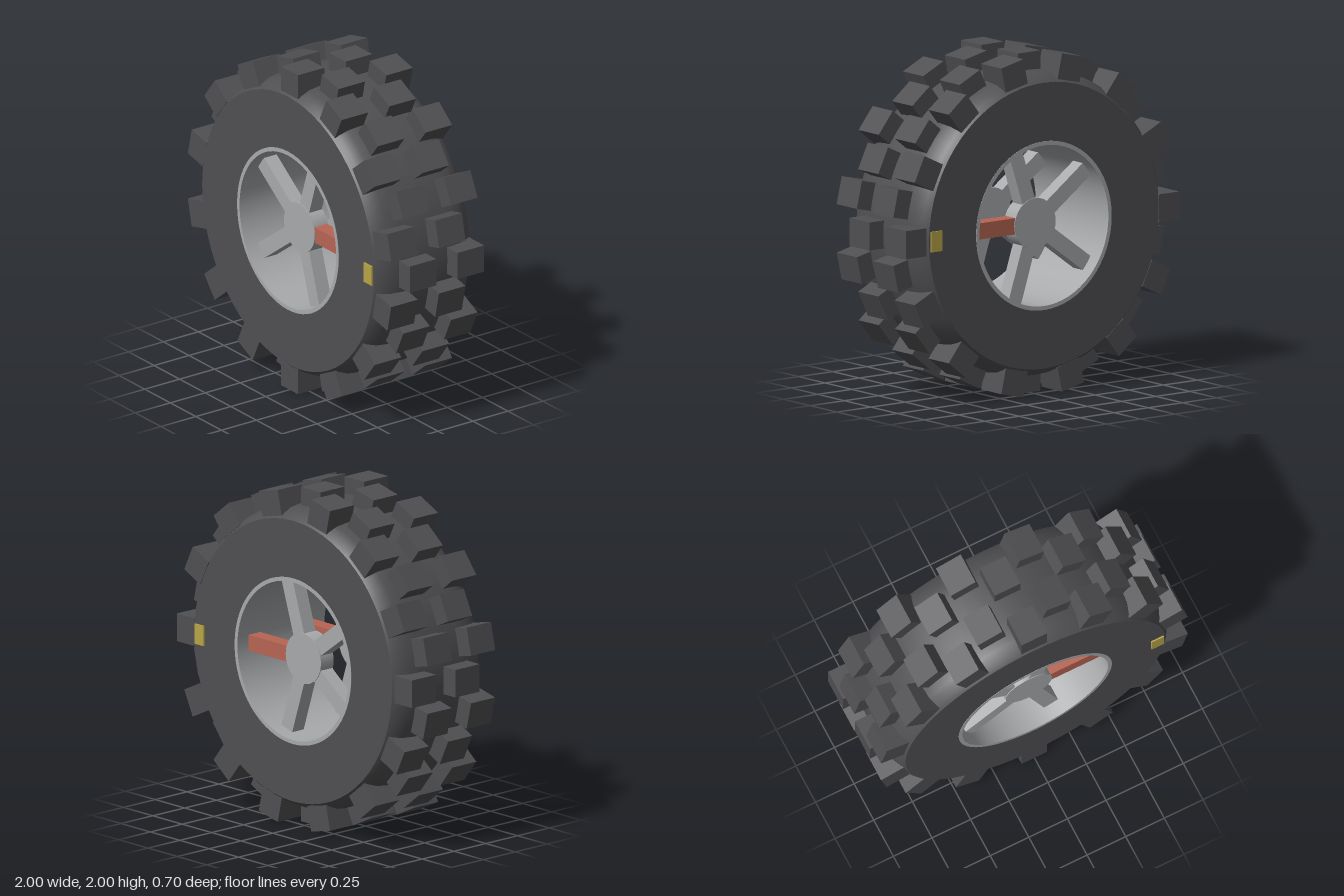
import * as THREE from 'three';
import { toCreasedNormals } from 'three/addons/utils/BufferGeometryUtils.js';

const material = (name, color) => {
  const m = new THREE.MeshStandardMaterial({ color });
  m.name = name;
  return m;
};

export function createModel() {
  const rubber = material('dark rubber', 0x505053);
  const metal = material('light grey rim', 0xa8aaac);
  const red = material('muted red', 0xb86553);
  const yellow = material('muted yellow', 0xb8a648);

  const wheel = new THREE.Group();
  wheel.name = 'wheel';
  wheel.position.y = 1;

  const add = (parent, name, geometry, mat, x = 0, y = 0, z = 0) => {
    const mesh = new THREE.Mesh(geometry, mat);
    mesh.name = name;
    mesh.position.set(x, y, z);
    parent.add(mesh);
    return mesh;
  };

  // Ring turned about the z axle from a closed [radius, z] profile
  const ring = (profile) => {
    const points = profile.map(([r, z]) => new THREE.Vector2(r, z));
    const geometry = new THREE.LatheGeometry(points, 64).rotateX(Math.PI / 2);
    return toCreasedNormals(geometry, 0.55);
  };

  // Tyre carcass: flat sidewalls, rounded shoulders
  const shoulder = [[0.9, 0.17], [0.89, 0.25], [0.865, 0.31], [0.84, 0.34], [0.49, 0.34]];
  const mirrored = shoulder.map(([r, z]) => [r, -z]).reverse();
  add(wheel, 'tyre', ring([...mirrored, ...shoulder, [0.49, -0.34]]), rubber);

  // Tread: 28 steps, blocks alternate between inner and outer rows
  const block = new THREE.BoxGeometry(0.15, 0.165, 0.19);
  const steps = 28;
  for (let i = 0; i < steps; i++) {
    const a = (i / steps) * Math.PI * 2;
    const inner = 0.107, outer = 0.235;
    const rows = i % 2 ? [outer, -inner] : [inner, -outer];
    for (const z of rows) {
      add(wheel, 'treadBlock', block, rubber, Math.cos(a) * 0.925, Math.sin(a) * 0.925, z).rotation.z = a;
    }
  }

  // Rim barrel
  add(wheel, 'rim', ring([[0.496, -0.342], [0.496, 0.342], [0.472, 0.342], [0.472, -0.342], [0.496, -0.342]]), metal);

  // Hub, five spokes and a marker plate on each side
  const hub = new THREE.CylinderGeometry(0.15, 0.15, 0.1, 32).rotateX(Math.PI / 2);
  const spoke = new THREE.BoxGeometry(0.38, 0.095, 0.09);
  const plate = new THREE.BoxGeometry(0.08, 0.12, 0.009);
  for (const side of [1, -1]) {
    add(wheel, 'hub', hub, metal, 0, 0, side * 0.21);
    for (let i = 0; i < 5; i++) {
      const a = (i / 5) * Math.PI * 2;
      const name = i ? 'spoke' : 'redSpoke';
      add(wheel, name, spoke, i ? metal : red, Math.cos(a) * 0.295, Math.sin(a) * 0.295, side * 0.21).rotation.z = a;
    }
    add(wheel, 'sidewallMarker', plate, yellow, 0.79, 0, side * 0.3455);
  }

  const model = new THREE.Group();
  model.name = 'model';
  model.add(wheel);
  return model;
}
